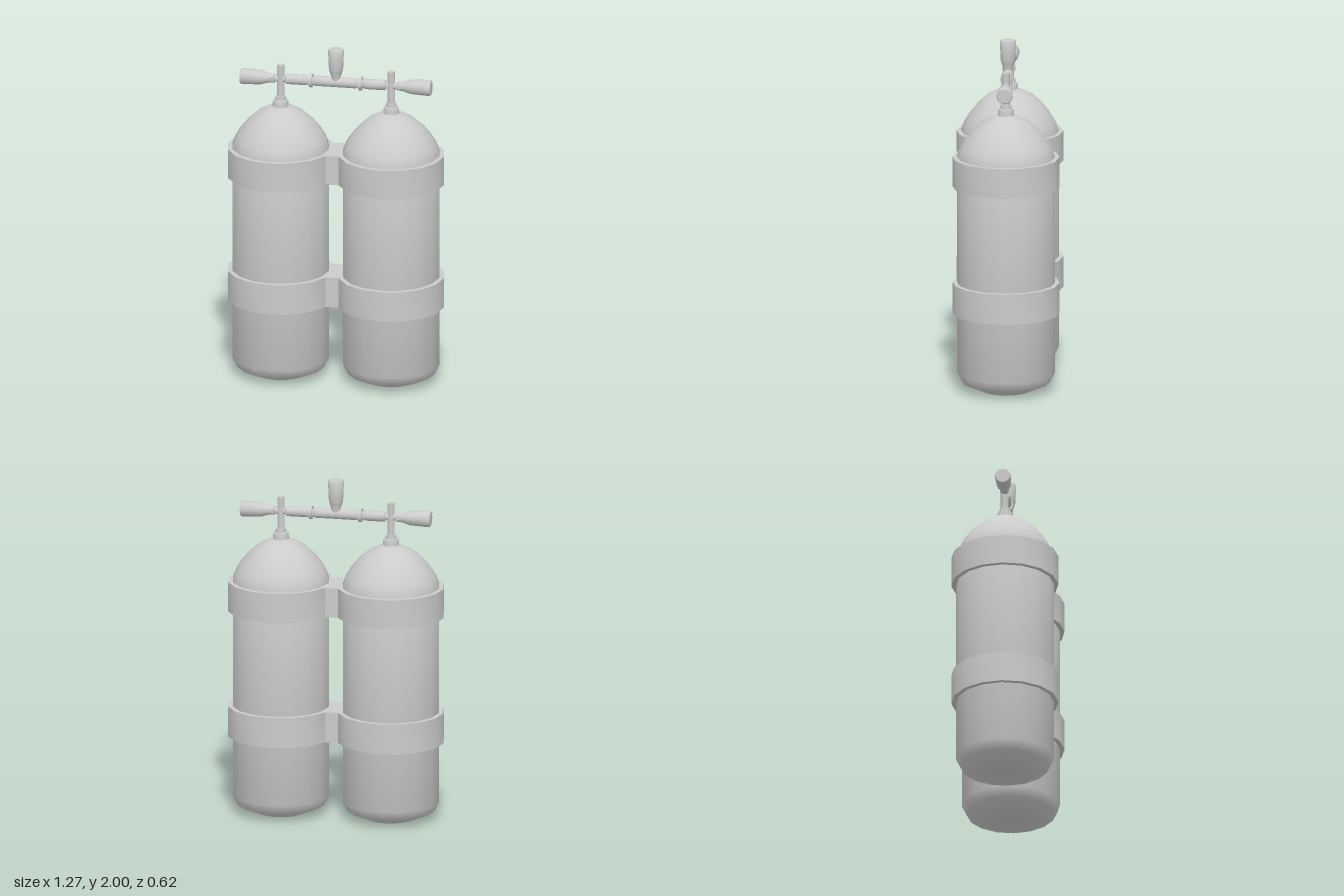
import * as THREE from 'three';
import { toCreasedNormals } from 'three/addons/utils/BufferGeometryUtils.js';

const material = new THREE.MeshStandardMaterial({ color: 0xcccccc });
const TANK_X = 0.325;

// Turned part from [radius, height] pairs, bottom to top
function turned(name, profile, sides) {
  const points = profile.map(([r, y]) => new THREE.Vector2(r, y));
  const geometry = toCreasedNormals(new THREE.LatheGeometry(points, sides), Math.PI / 4);
  const mesh = new THREE.Mesh(geometry, material);
  mesh.name = name;
  return mesh;
}

const tankProfile = [
  [0, 0], [0.14, 0], [0.255, 0.05], [0.283, 0.105], [0.283, 1.39], [0.265, 1.44],
  [0.235, 1.49], [0.19, 1.545], [0.14, 1.59], [0.09, 1.618], [0.045, 1.635], [0, 1.64],
];
const collarProfile = [
  [0, 1.62], [0.047, 1.62], [0.047, 1.645], [0.042, 1.67], [0.032, 1.672], [0.03, 1.695], [0, 1.695],
];
const stemProfile = [[0, 1.68], [0.022, 1.68], [0.022, 1.885], [0, 1.885]];

// Grip knob: narrow base at 0, wide end at 0.2
const knobProfile = [
  [0, 0], [0.026, 0], [0.028, 0.035], [0.037, 0.065], [0.042, 0.08], [0.047, 0.19], [0.042, 0.2], [0, 0.2],
];

// One half of the manifold as [radius, distance from centre]
const pipeHalf = [
  [0.03, 0.12], [0.025, 0.125], [0.025, 0.137], [0.04, 0.137], [0.04, 0.155], [0.025, 0.155],
  [0.025, 0.167], [0.03, 0.172], [0.03, 0.29], [0.02, 0.295], [0.02, 0.37], [0, 0.37],
];

export function createModel() {
  const model = new THREE.Group();
  model.name = 'twinTanks';

  for (const [side, s] of [['left', 1], ['right', -1]]) {
    // Cylinder with its valve
    const tank = new THREE.Group();
    tank.name = side + 'Tank';
    tank.position.x = s * TANK_X;
    tank.add(
      turned('body', tankProfile, 16),
      turned('collar', collarProfile, 16),
      turned('valveStem', stemProfile, 12),
    );

    // Straps around the cylinder
    for (const [level, y0, y1] of [['lower', 0.46, 0.64], ['upper', 1.21, 1.385]]) {
      const loop = [[0.275, y0], [0.31, y0], [0.31, y1], [0.275, y1], [0.275, y0]];
      tank.add(turned(level + 'Strap', loop, 16));
    }
    model.add(tank);

    // Outward-facing valve knob
    const knob = turned(side + 'Knob', knobProfile, 16);
    knob.rotation.z = -s * Math.PI / 2;
    knob.position.set(s * 0.36, 1.8, 0);
    model.add(knob);
  }

  // Blocks joining the straps between the cylinders
  for (const [level, y0, y1] of [['lower', 0.46, 0.64], ['upper', 1.21, 1.385]]) {
    const bridge = new THREE.Mesh(new THREE.BoxGeometry(0.08, y1 - y0, 0.237), material);
    bridge.name = level + 'StrapBridge';
    bridge.position.y = (y0 + y1) / 2;
    model.add(bridge);
  }

  // Cross pipe with couplings, mirrored about the centre
  const mirrored = pipeHalf.map(([r, d]) => [r, -d]).reverse();
  const manifold = turned('manifold', [...mirrored, ...pipeHalf], 16);
  manifold.rotation.z = -Math.PI / 2;
  manifold.position.y = 1.8;
  model.add(manifold);

  // Central upright knob
  const centreKnob = turned('centreKnob', knobProfile, 16);
  centreKnob.position.y = 1.8;
  model.add(centreKnob);

  return model;
}
